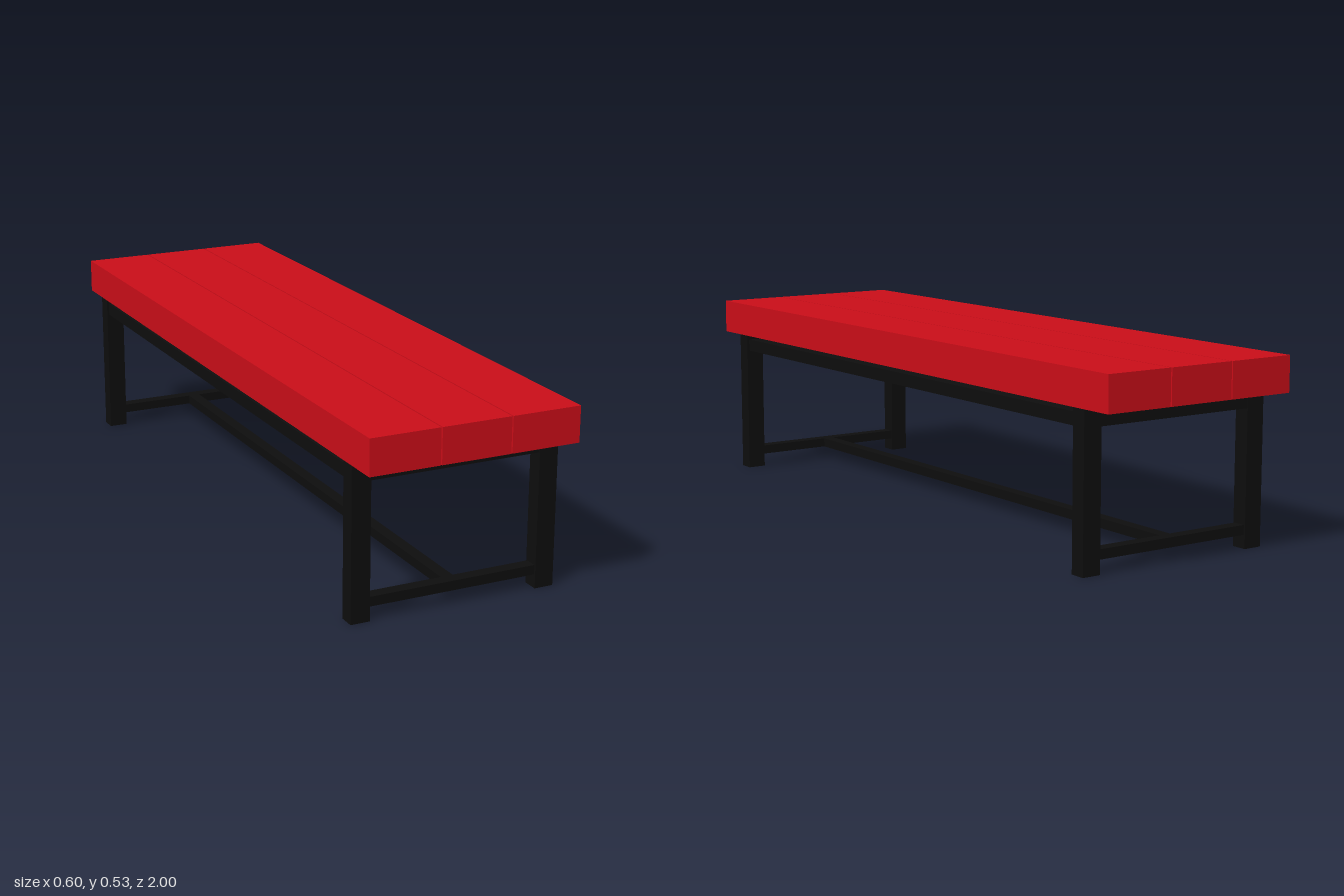
import * as THREE from 'three';

const red = new THREE.MeshStandardMaterial({ color: 0xc80d18 });
const black = new THREE.MeshStandardMaterial({ color: 0x0d0d0d });

export function createModel() {
  const model = new THREE.Group();
  model.name = 'bench';

  const box = (name, material, size, position) => {
    const mesh = new THREE.Mesh(new THREE.BoxGeometry(...size), material);
    mesh.name = name;
    mesh.position.set(...position);
    model.add(mesh);
  };

  // Seat: three thick planks with narrow gaps
  for (const i of [-1, 0, 1]) {
    box('seatPlank', red, [0.199, 0.1, 2], [i * 0.2025, 0.481, 0]);
  }

  const legW = 0.055, legD = 0.046, legH = 0.431;
  const legX = 0.2735, legZ = 0.881;
  const spanX = 2 * legX - legW, spanZ = 2 * legZ - legD;

  // End frames: two legs, an upper rail and a lower rail
  for (const [end, sz] of [['front', 1], ['back', -1]]) {
    for (const [side, sx] of [['Left', 1], ['Right', -1]]) {
      box(`${end}${side}Leg`, black, [legW, legH, legD], [sx * legX, legH / 2, sz * legZ]);
    }
    box(`${end}UpperRail`, black, [spanX, 0.036, 0.042], [0, 0.4, sz * legZ]);
    box(`${end}LowerRail`, black, [spanX, 0.027, 0.036], [0, 0.052, sz * legZ]);
  }

  // Long rails under the seat and the central floor stretcher
  box('leftUpperRail', black, [0.042, 0.036, spanZ], [legX, 0.4, 0]);
  box('rightUpperRail', black, [0.042, 0.036, spanZ], [-legX, 0.4, 0]);
  box('centreStretcher', black, [0.036, 0.027, 2 * legZ - 0.036], [0, 0.052, 0]);

  return model;
}
